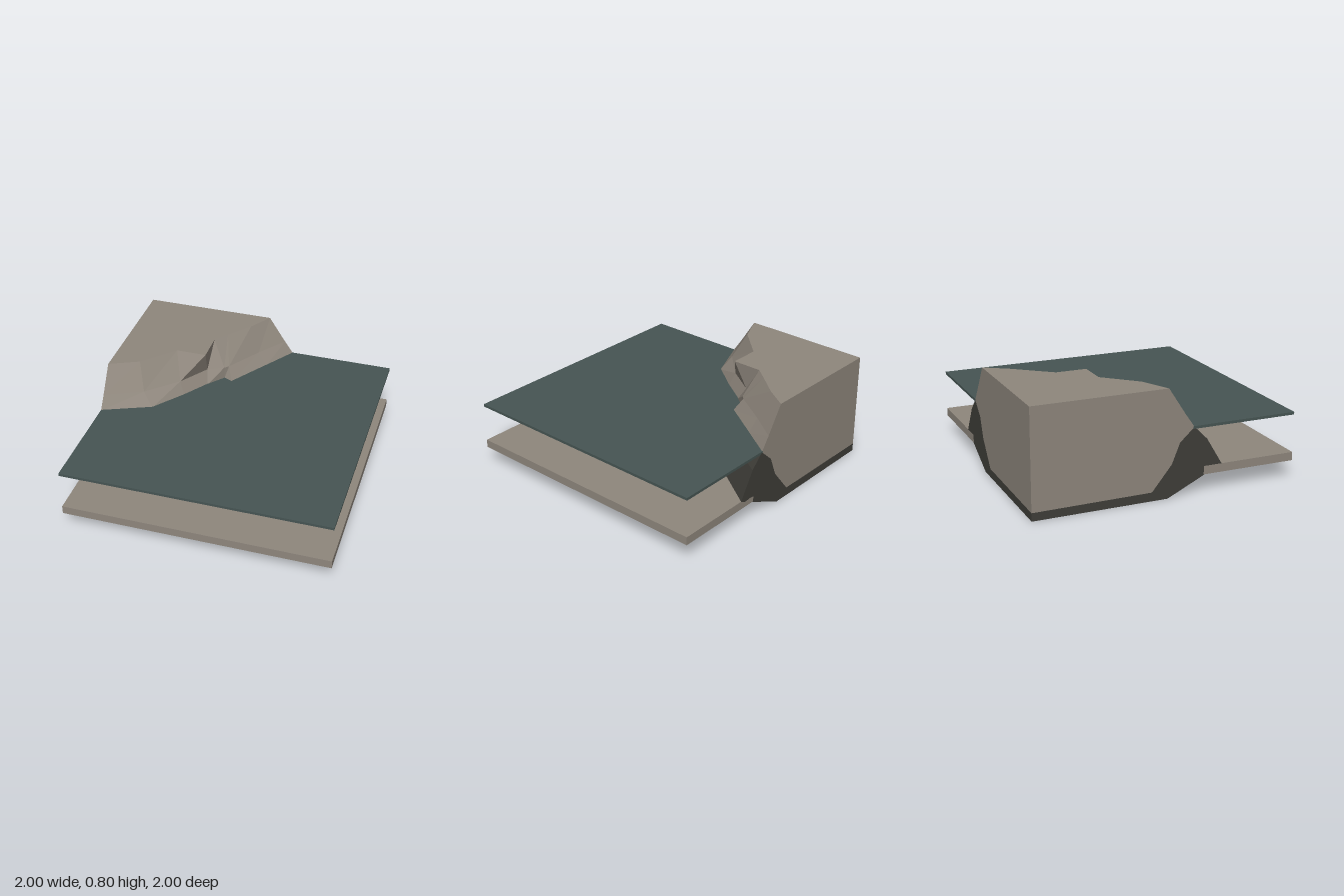
import * as THREE from 'three';

const rock = new THREE.MeshStandardMaterial({ color: 0x8f877d, side: THREE.DoubleSide });
rock.name = 'rock';
const wetRock = new THREE.MeshStandardMaterial({ color: 0x3f3e39, side: THREE.DoubleSide });
wetRock.name = 'wet rock';
const water = new THREE.MeshStandardMaterial({ color: 0x465553 });
water.name = 'water';

// Cliff face as contour lines from the right edge to the back edge, as [x, z]
const rim = [[-1, 0], [-0.78, -0.1], [-0.56, -0.33], [-0.33, -0.33], [-0.33, -0.56], [-0.25, -0.66], [-0.11, -0.83], [0, -1]];
const contours = [
  { y: 0.8, pts: rim },
  { y: 0.6, pts: [[-1, 0.13], [-0.72, 0], [-0.5, -0.21], [-0.35, -0.43], [-0.23, -0.49], [-0.2, -0.52], [-0.03, -0.78], [0.13, -1]] },
  { y: 0.5, pts: [[-1, 0.2], [-0.64, 0.05], [-0.46, -0.18], [-0.33, -0.37], [-0.23, -0.49], [-0.16, -0.46], [0.04, -0.76], [0.2, -1]] },
  { y: 0.4, pts: [[-1, 0.3], [-0.7, 0.16], [-0.44, -0.07], [-0.36, -0.3], [-0.27, -0.42], [-0.08, -0.44], [0.12, -0.72], [0.3, -1]] },
  { y: 0.2, pts: [[-1, 0.42], [-0.7, 0.27], [-0.39, 0], [-0.37, -0.2], [-0.25, -0.37], [0, -0.4], [0.2, -0.68], [0.42, -1]] },
  { y: 0, pts: rim },
];

function add(group, name, geometry, material) {
  const mesh = new THREE.Mesh(geometry, material);
  mesh.name = name;
  group.add(mesh);
  return mesh;
}

function shapeOf(points) {
  return new THREE.Shape(points.map(([a, b]) => new THREE.Vector2(a, b)));
}

// Flat-shaded surface between successive contours
function slope(rings) {
  const pos = [];
  for (let r = 0; r < rings.length - 1; r++) {
    const hi = rings[r], lo = rings[r + 1];
    const at = (ring, i) => [ring.pts[i][0], ring.y, ring.pts[i][1]];
    for (let i = 0; i < rim.length - 1; i++) {
      pos.push(...at(hi, i), ...at(lo, i), ...at(hi, i + 1));
      pos.push(...at(hi, i + 1), ...at(lo, i), ...at(lo, i + 1));
    }
  }
  const g = new THREE.BufferGeometry();
  g.setAttribute('position', new THREE.Float32BufferAttribute(pos, 3));
  g.computeVertexNormals();
  return g;
}

// Square slab whose hidden corner sits just inside the cliff walls
function slab(y, height, cut) {
  const e = 0.994;
  const plan = [[-1, 1], [1, 1], [1, -1], [cut, -1], [cut, -e], [-e, -e], [-e, cut], [-1, cut]];
  const g = new THREE.ExtrudeGeometry(shapeOf(plan.map(([x, z]) => [x, -z])), { depth: height, bevelEnabled: false });
  return g.rotateX(-Math.PI / 2).translate(0, y, 0);
}

export function createModel() {
  const model = new THREE.Group();
  model.name = 'coastal cliff tile';

  add(model, 'seabed', slab(0.137, 0.063, 0.28), rock);
  add(model, 'waterSurface', slab(0.485, 0.02, 0.19), water);

  const cliff = new THREE.Group();
  cliff.name = 'cliff';
  model.add(cliff);

  // Flat top
  const top = new THREE.ShapeGeometry(shapeOf([...rim, [-1, -1]].map(([x, z]) => [x, -z])));
  add(cliff, 'cliffTop', top.rotateX(-Math.PI / 2).translate(0, 0.8, 0), rock);

  // Dry face above the water, wet face below it
  add(cliff, 'dryFace', slope(contours.slice(0, 3)), rock);
  add(cliff, 'wetFace', slope(contours.slice(2)), wetRock);

  // Cut walls: light core with a wet margin along the lower outline
  const inner = [[0.2, 0.5], [0.09, 0.4], [0.03, 0.25], [-0.12, 0.065], [-1, 0.06]];
  const core = [[-1, 0.8], [0, 0.8], [0.13, 0.6], ...inner];
  const margin = [...inner, [-1, 0], [0, 0], [0.42, 0.2], [0.3, 0.4]];
  for (const [name, outline, material] of [['Wall', core, rock], ['WallWetMargin', margin, wetRock]]) {
    const flat = new THREE.ShapeGeometry(shapeOf(outline));
    add(cliff, 'back' + name, flat.clone().translate(0, 0, -1), material);
    add(cliff, 'right' + name, flat.rotateY(-Math.PI / 2).translate(-1, 0, 0), material);
  }
  return model;
}
